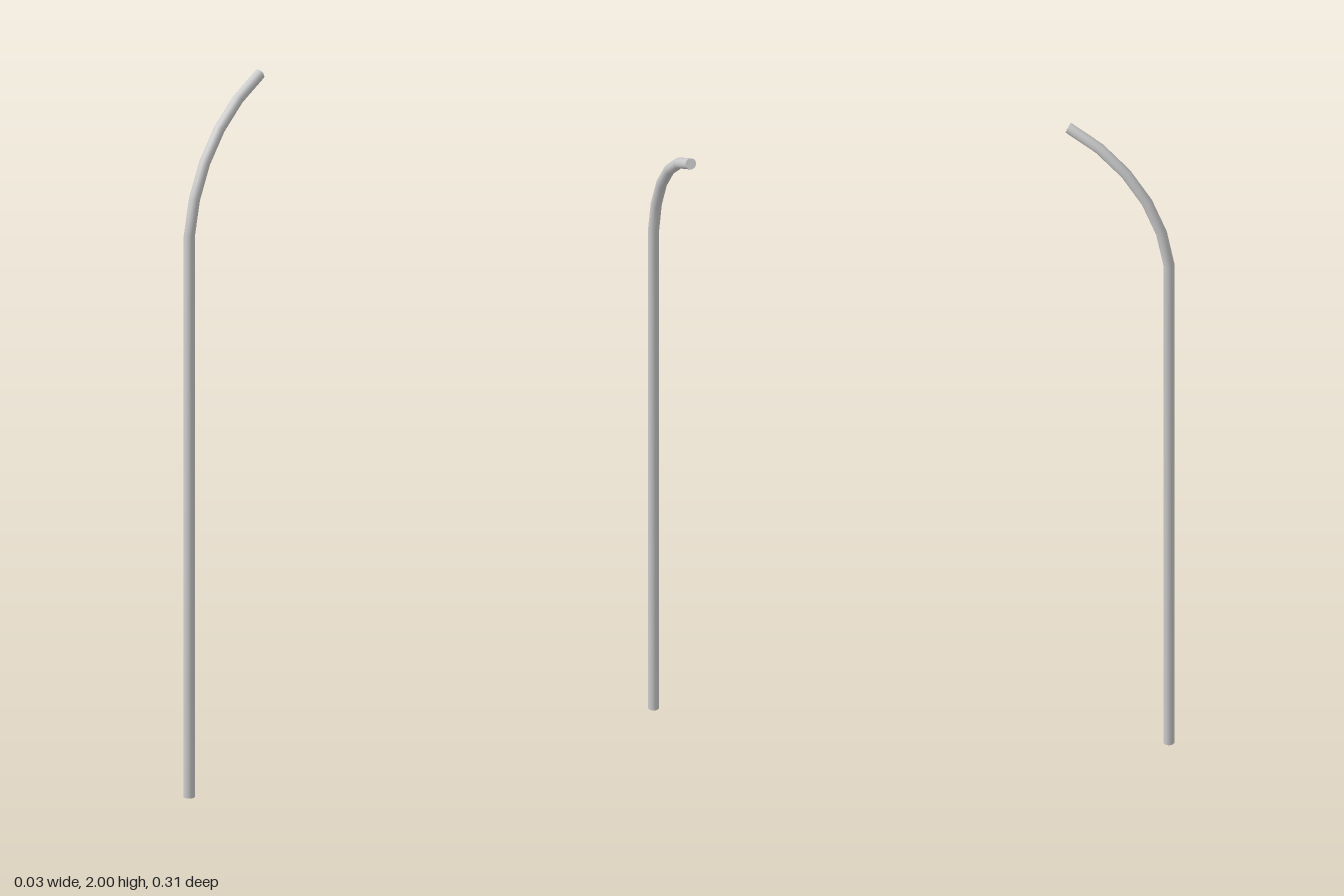
import * as THREE from 'three';

const RADIUS = 0.0153;
const BENDS = 5;
const STEP = THREE.MathUtils.degToRad(11.75); // turn at each joint
const LENGTH = 0.103; // length of each bent segment

// Ring centres and tilts: straight shaft, then a faceted bend towards the back
function poleRings() {
  const rings = [{ y: 0, z: 0.138, tilt: 0 }];
  let y = 1.583, z = 0.138;
  for (let k = 0; k <= BENDS; k++) {
    rings.push({ y, z, tilt: STEP * (k + 0.5) });
    y += LENGTH * Math.cos(STEP * (k + 1));
    z -= LENGTH * Math.sin(STEP * (k + 1));
  }
  return rings;
}

export function createModel() {
  const group = new THREE.Group();
  group.name = 'bentPole';

  // Closed cylinder whose rings are moved onto the bent path
  const rings = poleRings();
  const spans = rings.length - 1;
  const geometry = new THREE.CylinderGeometry(RADIUS, RADIUS, spans, 16, spans);
  const { position, normal } = geometry.attributes;
  const axis = new THREE.Vector3(1, 0, 0);
  const v = new THREE.Vector3();
  for (let i = 0; i < position.count; i++) {
    v.fromBufferAttribute(position, i);
    const ring = rings[Math.round(v.y + spans / 2)];
    v.y = 0;
    v.applyAxisAngle(axis, -ring.tilt);
    position.setXYZ(i, v.x, v.y + ring.y, v.z + ring.z);
    v.fromBufferAttribute(normal, i).applyAxisAngle(axis, -ring.tilt);
    normal.setXYZ(i, v.x, v.y, v.z);
  }

  const pole = new THREE.Mesh(geometry, new THREE.MeshStandardMaterial({ color: 0xcccccc }));
  pole.name = 'pole';
  group.add(pole);
  return group;
}
